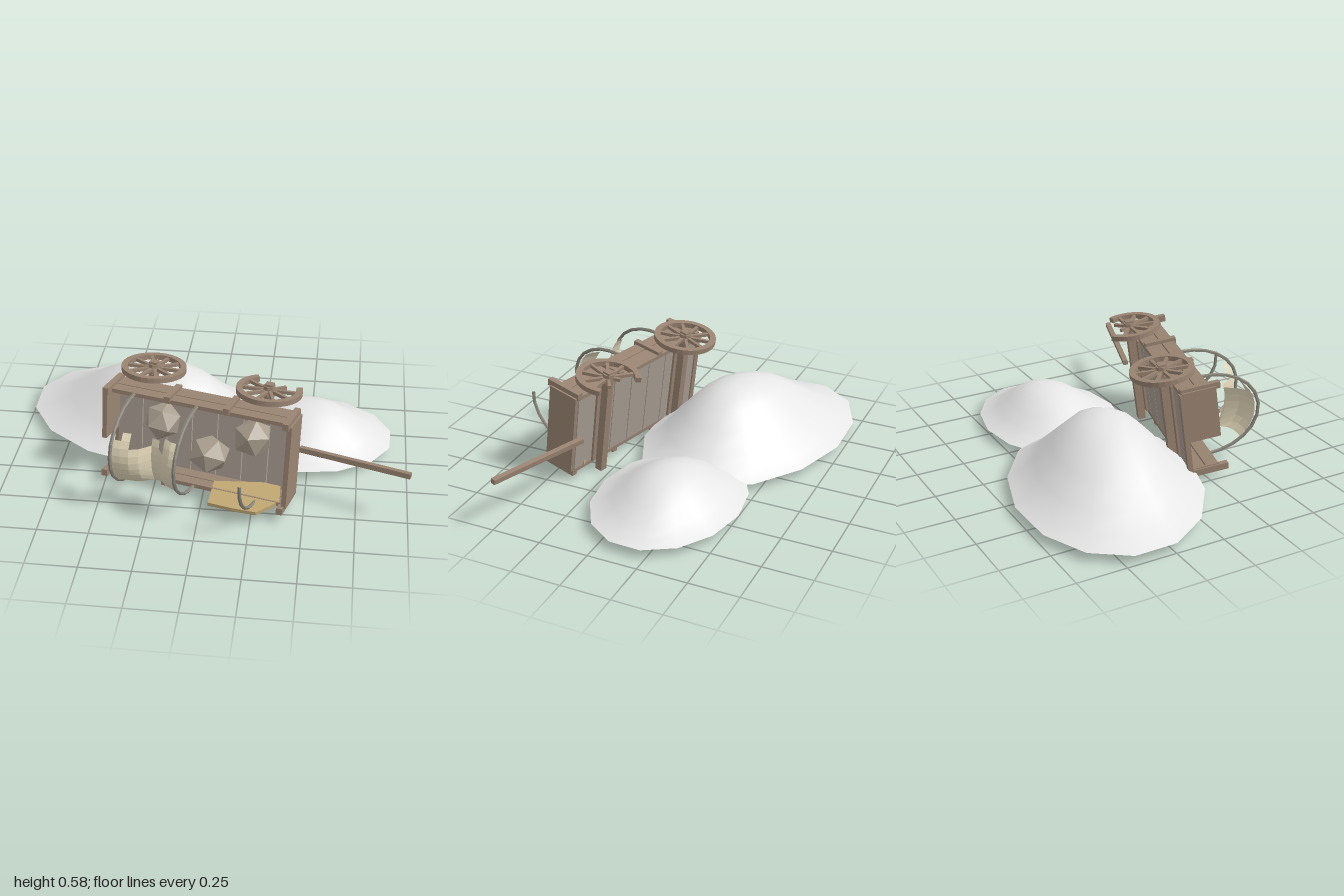
import * as THREE from 'three';

const mat = (name, color, extra = {}) => {
  const m = new THREE.MeshStandardMaterial({ color, flatShading: true, ...extra });
  m.name = name;
  return m;
};

export function createModel() {
  const wood = mat('brown wood', 0x9a8472);
  const plank = mat('weathered plank', 0xa99e93);
  const hoopMat = mat('grey hoop', 0x8a877b);
  const canvas = mat('cream canvas', 0xe4d8ba, { side: THREE.DoubleSide });
  const tan = mat('tan cloth', 0xc0a873);
  const sackMat = mat('sack', 0xaa9e8e);
  const snow = mat('snow', 0xe6e6e6, { side: THREE.DoubleSide, flatShading: false });

  const root = new THREE.Group();
  root.name = 'overturnedWagonScene';

  const add = (parent, name, geo, m, x = 0, y = 0, z = 0) => {
    const mesh = new THREE.Mesh(geo, m);
    mesh.name = name;
    mesh.position.set(x, y, z);
    parent.add(mesh);
    return mesh;
  };
  const box = (parent, name, m, w, h, d, x, y, z) =>
    add(parent, name, new THREE.BoxGeometry(w, h, d), m, x, y, z);
  // open surface from points and quad index list
  const surface = (pos, idx) => {
    const g = new THREE.BufferGeometry();
    g.setAttribute('position', new THREE.Float32BufferAttribute(pos, 3));
    g.setIndex(idx);
    g.computeVertexNormals();
    return g;
  };

  // Snow mounds: elliptical rings that rise to a rounded peak
  const mound = (name, cx, cz, rx, rz, height, yaw, phase, shiftX, shiftZ) => {
    const seg = 14;
    const rings = [[1, 0], [0.87, 0.11], [0.73, 0.29], [0.55, 0.57], [0.38, 0.82], [0.2, 0.96]];
    const pos = [], idx = [];
    for (const [r, h] of rings) {
      for (let i = 0; i < seg; i++) {
        const a = (i + phase) / seg * Math.PI * 2;
        const u = Math.cos(a) * rx * r, v = Math.sin(a) * rz * r;
        pos.push(cx + u * Math.cos(yaw) - v * Math.sin(yaw) + shiftX * (1 - r),
          0.04 + height * h,
          cz + u * Math.sin(yaw) + v * Math.cos(yaw) + shiftZ * (1 - r));
      }
    }
    pos.push(cx + shiftX, 0.04 + height, cz + shiftZ);
    const top = rings.length * seg;
    for (let k = 0; k < rings.length; k++) {
      for (let i = 0; i < seg; i++) {
        const a = k * seg + i, b = k * seg + (i + 1) % seg;
        if (k === rings.length - 1) idx.push(a, top, b);
        else idx.push(a, a + seg, b, b, a + seg, b + seg);
      }
    }
    add(root, name, surface(pos, idx), snow);
  };
  mound('largeSnowMound', -0.34, -0.255, 0.68, 0.47, 0.31, 0.3, 0, 0.1, 0.05);
  mound('smallSnowMound', 0.455, -0.16, 0.472, 0.362, 0.168, 0.03, 0.5, 0.04, -0.01);

  // Wagon lies on its side: local x is its length, z its open top, +y the raised side
  const wagon = new THREE.Group();
  wagon.name = 'wagon';
  wagon.position.set(0, 0.2575, 0.236);
  wagon.rotation.set(-0.131, -0.244, 0, 'YXZ');
  root.add(wagon);

  // Floor of cross planks
  for (let i = 0; i < 7; i++)
    box(wagon, 'floorPlank', plank, 0.127, 0.415, 0.02, (i - 3) * 0.132, 0, 0.01);

  // Side boards and posts, mirrored
  for (const s of [-1, 1]) {
    box(wagon, 'lowerSideBoard', wood, 0.92, 0.02, 0.085, 0, s * 0.212, 0.042);
    box(wagon, 'upperSideBoard', wood, 0.92, 0.02, 0.064, 0, s * 0.212, 0.122);
    for (const x of [-0.455, -0.15, 0.15, 0.455]) {
      const tall = Math.abs(x) > 0.3 ? 0.2 : 0.165;
      box(wagon, 'sidePost', wood, 0.03, 0.033, tall, x, s * 0.223, tall / 2);
    }
  }

  // End boards: front whole, rear broken off halfway
  box(wagon, 'frontEndBoard', wood, 0.024, 0.43, 0.17, 0.468, 0, 0.09);
  box(wagon, 'rearEndBoard', wood, 0.024, 0.265, 0.17, -0.468, 0.09, 0.09);
  box(wagon, 'rearFloorBeam', wood, 0.03, 0.43, 0.025, -0.465, 0, 0.005);

  // Axles with bolsters
  for (const x of [-0.3, 0.297]) {
    box(wagon, 'axle', wood, 0.04, 0.575, 0.04, x, 0.0325, -0.035);
    box(wagon, 'bolster', wood, 0.08, 0.415, 0.012, x, 0, -0.006);
  }

  // Wheels: rim is an extruded arc, spokes radiate from the hub
  const arcRim = (from, to) => {
    const shape = new THREE.Shape();
    shape.absarc(0, 0, 0.16, from, to, false);
    if (to - from > 6.28) {
      const hole = new THREE.Path();
      hole.absarc(0, 0, 0.13, 0, Math.PI * 2, true);
      shape.holes.push(hole);
    } else shape.absarc(0, 0, 0.13, to, from, true);
    return new THREE.ExtrudeGeometry(shape, { depth: 0.026, bevelEnabled: false, curveSegments: 16 })
      .translate(0, 0, -0.013).rotateX(-Math.PI / 2);
  };
  const wheel = (name, x, from, to, brokenSpokes) => {
    const g = new THREE.Group();
    g.name = name;
    g.position.set(x, 0.2845, -0.035);
    wagon.add(g);
    add(g, 'rim', arcRim(from, to), wood);
    add(g, 'hub', new THREE.CylinderGeometry(0.03, 0.033, 0.05, 8), wood);
    for (let i = 0; i < 10; i++) {
      const a = i / 10 * Math.PI * 2 + 0.15;
      const len = brokenSpokes[i] ?? 0.14;
      if (!len) continue;
      const geo = new THREE.BoxGeometry(len, 0.016, 0.016).translate(len / 2, 0, 0);
      add(g, 'spoke', geo, wood).rotation.y = a;
    }
  };
  wheel('rearWheel', -0.3, 0, Math.PI * 2, {});
  wheel('brokenFrontWheel', 0.297, 2.25, 6.74, { 1: 0.09, 2: 0, 3: 0.06 });

  // Draw pole
  const a = new THREE.Vector3(0.47, 0.003, -0.045), b = new THREE.Vector3(1.025, 0.006, 0);
  const pole = box(wagon, 'drawPole', wood, 0.026, 0.026, a.distanceTo(b), 0, 0, 0);
  pole.position.copy(a).lerp(b, 0.5);
  pole.quaternion.setFromUnitVectors(new THREE.Vector3(0, 0, 1), b.clone().sub(a).normalize());

  // Cover hoops: half ellipses, the last one snapped at its crown
  const hoopPoint = (x, t, s = 1) =>
    new THREE.Vector3(x, 0.215 * Math.sin(t), 0.15 + 0.28 * Math.cos(t) * s);
  const hoop = (name, x, end) => {
    const pts = [];
    for (let i = 0; i <= 10; i++)
      pts.push(hoopPoint(x, -Math.PI / 2 + (end + Math.PI / 2) * i / 10));
    const n = end > 1 ? 12 : 6;
    add(wagon, name, new THREE.TubeGeometry(new THREE.CatmullRomCurve3(pts), n, 0.009, 5), hoopMat);
  };
  hoop('rearHoop', -0.324, Math.PI / 2);
  hoop('middleHoop', 0, Math.PI / 2);
  hoop('brokenHoop', 0.324, 0.0);

  // Torn canvas sagging between the first two hoops
  const sag = [0, 0.01, 0.04, 0.14, 0.36, 0.32, 0.12, 0.03, 0];
  const rowsUsed = [7, 8, 6, 6, 7, 6, 8, 8];
  const pos = [], idx = [], rows = 8;
  sag.forEach((s, c) => {
    for (let r = 0; r <= rows; r++) {
      const p = hoopPoint(-0.324 + 0.0405 * c, -0.86 + 1.42 * r / rows, 0.93 - s);
      pos.push(p.x, p.y, p.z);
    }
  });
  rowsUsed.forEach((n, c) => {
    for (let r = 0; r < n; r++) {
      const i = c * (rows + 1) + r, j = i + rows + 1;
      idx.push(i, j, i + 1, j, j + 1, i + 1);
    }
  });
  add(wagon, 'tornCanvas', surface(pos, idx), canvas);

  // Faceted sacks lying on the floor
  for (const [x, y, r, turn] of [[0.055, -0.05, 0.108, 0.2], [0.27, 0.085, 0.108, 1.3], [-0.19, 0.08, 0.105, 2.3]]) {
    const sack = add(wagon, 'sack', new THREE.IcosahedronGeometry(r), sackMat, x, y, 0.1);
    sack.rotation.set(turn, turn * 0.6, turn * 0.4);
    sack.scale.set(1, 0.9, 0.9);
  }

  // Fallen cloth spread on the ground under the lower side
  const cloth = new THREE.Shape([[0.055, 0.37], [0.38, 0.35], [0.385, 0.5], [0.28, 0.6], [0.16, 0.58], [0.045, 0.55]]
    .map(([x, z]) => new THREE.Vector2(x, -z)));
  const clothGeo = new THREE.ExtrudeGeometry(cloth, { depth: 0.018, bevelEnabled: false }).rotateX(-Math.PI / 2);
  add(root, 'fallenCloth', clothGeo, tan, 0, 0.058, 0);

  return root;
}
